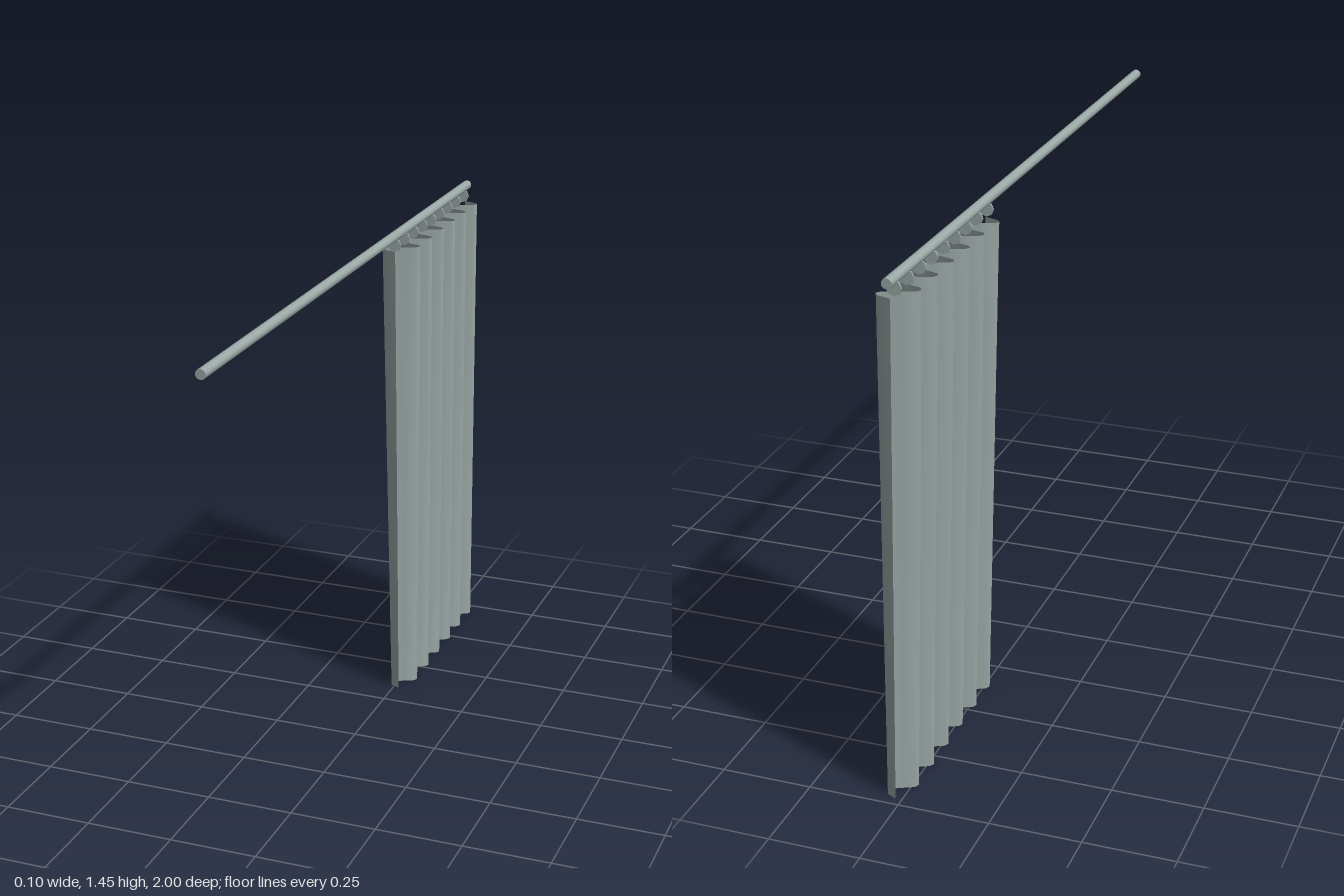
import * as THREE from 'three';

export function createModel() {
  const group = new THREE.Group();
  const fabric = new THREE.MeshStandardMaterial({ color: 0x9caaa8, side: THREE.DoubleSide });
  fabric.name = 'grey green';

  // Rail along z
  const rail = new THREE.Mesh(new THREE.CylinderGeometry(0.014, 0.014, 2, 10), fabric);
  rail.name = 'rail';
  rail.rotation.x = Math.PI / 2;
  rail.position.set(-0.006, 1.436, 0);
  group.add(rail);

  // Thin hangers between rail and curtain
  const hangerGeometry = new THREE.CylinderGeometry(0.02, 0.02, 0.006, 8);
  hangerGeometry.rotateX(Math.PI / 2);
  for (let i = 0; i < 9; i++) {
    const hanger = new THREE.Mesh(hangerGeometry, fabric);
    hanger.name = 'hanger';
    hanger.position.set(-0.006, 1.411, -0.333 - i * 0.0778);
    group.add(hanger);
  }

  // Pleated curtain: six waves, shallower and shifted sideways at the hem
  const folds = 6, steps = folds * 8, height = 1.39;
  const geometry = new THREE.PlaneGeometry(1, 1, steps, 4);
  const p = geometry.attributes.position;
  for (let i = 0; i < p.count; i++) {
    const t = p.getX(i) + 0.5;
    const v = p.getY(i) + 0.5;
    const middle = THREE.MathUtils.lerp(0.0175, -0.004, v);
    const depth = THREE.MathUtils.lerp(0.033, 0.048, v);
    // Flattened wave crests
    const wave = THREE.MathUtils.clamp(1.15 * Math.sin(t * folds * Math.PI * 2), -1, 1);
    p.setXYZ(i, middle - depth * wave, v * height, -0.335 - 0.64 * t);
  }
  geometry.computeVertexNormals();
  const curtain = new THREE.Mesh(geometry, fabric);
  curtain.name = 'curtain';
  group.add(curtain);

  return group;
}
